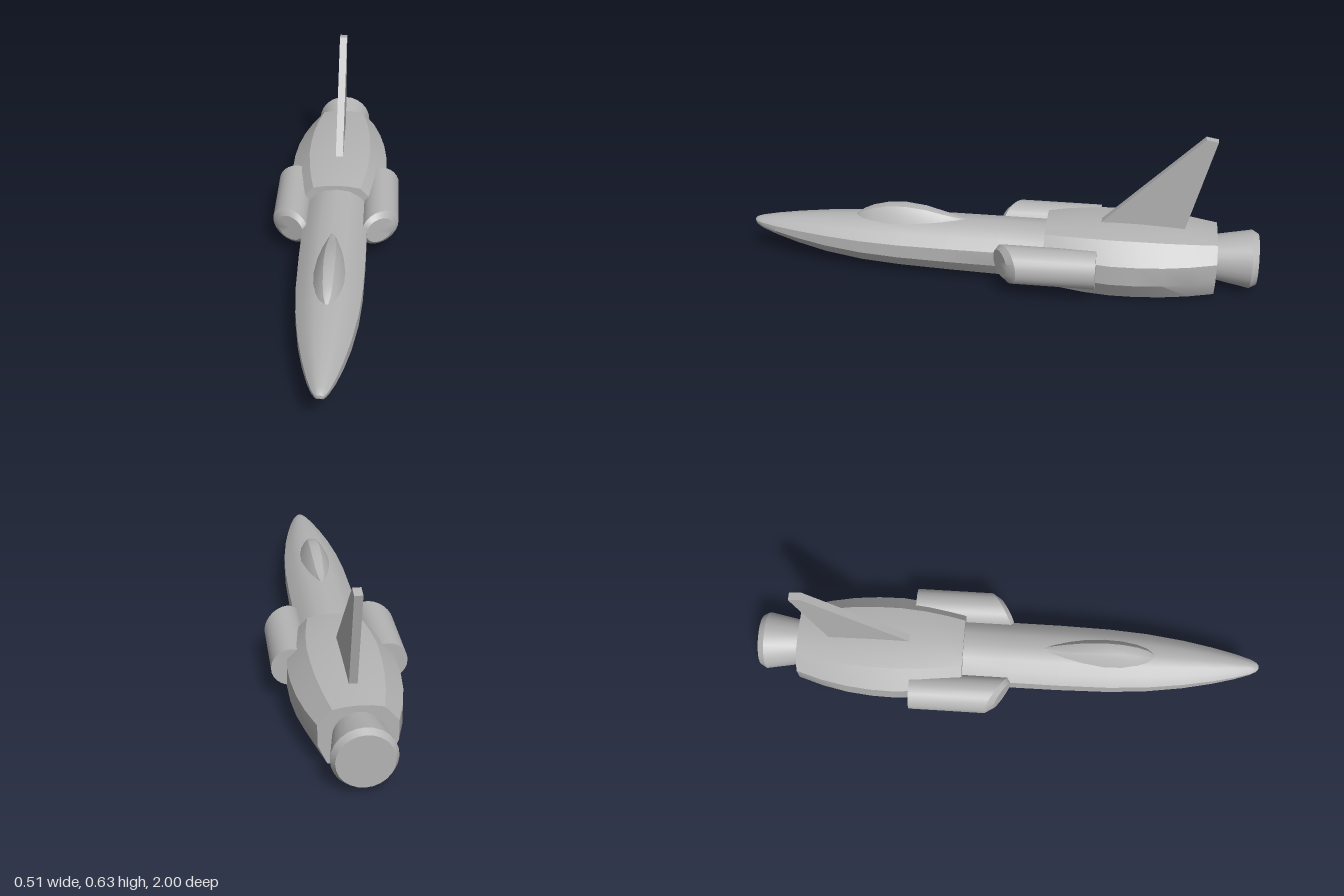
import * as THREE from 'three';
import { toCreasedNormals } from 'three/addons/utils/BufferGeometryUtils.js';

const grey = new THREE.MeshStandardMaterial({ color: 0xb4b4b4 });
grey.name = 'hull grey';

// Skin closed cross-sections (listed back to front, points anticlockwise seen from +z)
function loft(sections, crease) {
  const n = sections[0].length;
  const index = [];
  for (let i = 0; i < sections.length - 1; i++) {
    for (let j = 0; j < n; j++) {
      const k = (j + 1) % n;
      const a = i * n + j, b = i * n + k, c = b + n, d = a + n;
      index.push(a, b, c, a, c, d);
    }
  }
  const last = (sections.length - 1) * n;
  for (let j = 1; j < n - 1; j++) {
    index.push(0, j + 1, j);
    index.push(last, last + j, last + j + 1);
  }
  const g = new THREE.BufferGeometry();
  g.setAttribute('position', new THREE.Float32BufferAttribute(sections.flat(2), 3));
  g.setIndex(index);
  return toCreasedNormals(g, crease);
}

// Mirror the right half of a section, listed from bottom centre to top centre
function mirrored(half, z) {
  const left = half.slice(1, -1).reverse().map(([x, y]) => [-x, y]);
  return [...half, ...left].map(([x, y]) => [x, y, z]);
}

// Hull outline: flat belly, angled chine, upright side and curved top
function hullSection([z, w, top, bottom, side], shoulder, topKnee, sag) {
  const low = bottom + (side - bottom) * 0.5;
  const rise = top - side;
  const belly = shoulder.belly * w;
  return mirrored([
    [0, bottom - sag],
    [belly, bottom],
    [w, low],
    [w, side],
    [w * shoulder.x, side + rise * shoulder.y],
    [w * topKnee.x, side + rise * topKnee.y],
    [0, top],
  ], z);
}

export function createModel() {
  const model = new THREE.Group();
  model.name = 'starfighter';
  const add = (geometry, name) => {
    const mesh = new THREE.Mesh(geometry, grey);
    mesh.name = name;
    model.add(mesh);
    return mesh;
  };

  // Forward fuselage: z, half width, top, bottom, side crease height
  const fuselage = [
    [-0.3, 0.128, 0.222, 0.025, 0.152], [0, 0.128, 0.222, 0.03, 0.152],
    [0.2, 0.128, 0.222, 0.036, 0.152], [0.4, 0.124, 0.22, 0.042, 0.152],
    [0.55, 0.114, 0.215, 0.05, 0.153], [0.7, 0.094, 0.206, 0.067, 0.155],
    [0.82, 0.071, 0.195, 0.09, 0.156], [0.91, 0.049, 0.184, 0.112, 0.157],
    [0.97, 0.03, 0.174, 0.13, 0.158], [0.993, 0.018, 0.168, 0.141, 0.158],
    [1, 0.009, 0.163, 0.149, 0.158],
  ];
  add(loft(fuselage.map((r) => hullSection(r, { belly: 0.7, x: 0.72, y: 0.54 }, { x: 0.4, y: 0.9 }, 0)), 0.55), 'forwardFuselage');

  // Wide engine housing
  const rear = [
    [-0.84, 0.138, 0.237, 0.017, 0.17], [-0.74, 0.168, 0.246, 0.012, 0.17],
    [-0.64, 0.188, 0.252, 0.009, 0.17], [-0.54, 0.198, 0.256, 0.007, 0.17],
    [-0.44, 0.2, 0.256, 0.007, 0.17], [-0.34, 0.189, 0.253, 0.009, 0.17],
    [-0.25, 0.17, 0.247, 0.013, 0.17], [-0.18, 0.15, 0.24, 0.017, 0.17],
  ];
  add(loft(rear.map((r) => hullSection(r, { belly: 0.75, x: 0.64, y: 0.84 }, { x: 0.34, y: 0.96 }, 0.007)), 0.5), 'engineHousing');

  // Canopy bubble: z, base half width, top height
  const canopy = [
    [0.13, 0.012, 0.22], [0.17, 0.034, 0.228], [0.23, 0.053, 0.243],
    [0.3, 0.065, 0.262], [0.38, 0.07, 0.272], [0.45, 0.067, 0.268],
    [0.51, 0.058, 0.253], [0.55, 0.044, 0.235], [0.58, 0.018, 0.213],
  ];
  add(loft(canopy.map(([z, w, top]) => {
    const base = 0.185;
    const h = top - base;
    return mirrored([
      [0, base], [w, base], [w * 0.78, base + h * 0.35],
      [w * 0.52, base + h * 0.75], [w * 0.3, base + h * 0.96], [0, top],
    ], z);
  }), 0.5), 'canopy');

  // Side intakes with a slanted, bevelled mouth
  const cx = 0.179;
  for (const [side, name] of [[1, 'leftIntake'], [-1, 'rightIntake']]) {
    const profile = [[0, -0.385], [0.074, -0.385], [0.074, -0.04], [0.053, -0.018], [0, -0.018]];
    const g = new THREE.LatheGeometry(profile.map(([r, z]) => new THREE.Vector2(r, z)), 24);
    g.rotateX(Math.PI / 2);
    const p = g.attributes.position;
    for (let i = 0; i < p.count; i++) {
      if (p.getZ(i) > -0.2) p.setZ(i, p.getZ(i) - 0.62 * side * p.getX(i));
    }
    add(toCreasedNormals(g, 0.5), name).position.set(side * cx, 0.137, 0);
  }

  // Flared exhaust nozzle
  const nozzle = [[0, -1], [0.1, -1], [0.114, -0.975], [0.087, -0.83], [0, -0.83]];
  const ng = new THREE.LatheGeometry(nozzle.map(([r, z]) => new THREE.Vector2(r, z)), 24);
  ng.rotateX(Math.PI / 2);
  add(toCreasedNormals(ng, 0.5), 'exhaustNozzle').position.y = 0.124;

  // Swept tail fin, drawn as (-z, y) and turned to stand along the hull
  const fin = new THREE.Shape([[0.37, 0.23], [0.71, 0.23], [0.81, 0.624], [0.765, 0.632]]
    .map(([u, v]) => new THREE.Vector2(u, v)));
  const fg = new THREE.ExtrudeGeometry(fin, { depth: 0.03, bevelEnabled: false });
  fg.translate(0, 0, -0.015);
  fg.rotateY(Math.PI / 2);
  add(fg, 'tailFin');

  return model;
}
